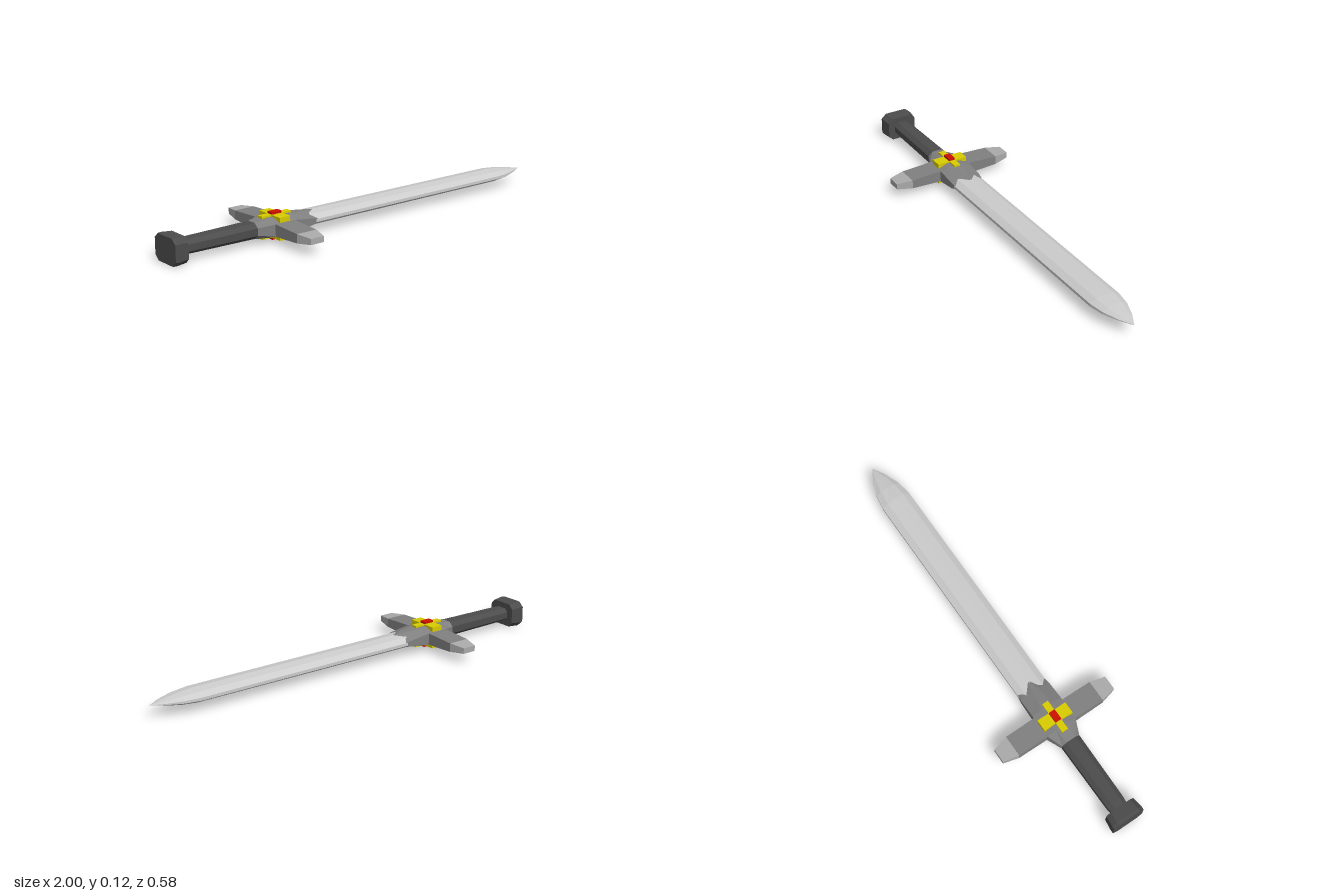
import * as THREE from 'three';

// Eight-sided section as [z, y] points: half width w, half height h,
// flat half-lengths fz (top) and fy (sides)
const oct = (w, h, fz, fy) => [
  [fz, h], [w, fy], [w, -fy], [fz, -h], [-fz, -h], [-w, -fy], [-w, fy], [-fz, h],
];

// Flattened lens section with a central ridge
const lens = (w, h) => [
  [0, h], [w * 0.6, h * 0.78], [w, h * 0.22], [w, -h * 0.22], [w * 0.6, -h * 0.78],
  [0, -h], [-w * 0.6, -h * 0.78], [-w, -h * 0.22], [-w, h * 0.22], [-w * 0.6, h * 0.78],
];

// Skin a list of [x, section] along x, closed at both ends
function loft(sections) {
  const pos = [];
  const n = sections[0][1].length;
  const put = (i, j) => {
    const [x, pts] = sections[i];
    const [z, y] = pts[j % n];
    pos.push(x, y, z);
  };
  const last = sections.length - 1;
  for (let i = 0; i < last; i++) {
    for (let j = 0; j < n; j++) {
      put(i, j); put(i, j + 1); put(i + 1, j + 1);
      put(i, j); put(i + 1, j + 1); put(i + 1, j);
    }
  }
  for (let j = 1; j < n - 1; j++) {
    put(0, 0); put(0, j + 1); put(0, j);
    put(last, 0); put(last, j); put(last, j + 1);
  }
  const geo = new THREE.BufferGeometry();
  geo.setAttribute('position', new THREE.Float32BufferAttribute(pos, 3));
  geo.computeVertexNormals();
  return geo;
}

const mat = (color) => new THREE.MeshStandardMaterial({ color, flatShading: true });

export function createModel() {
  const sword = new THREE.Group();
  sword.name = 'sword';
  const body = new THREE.Group();
  body.name = 'body';
  body.position.y = 0.06;
  sword.add(body);

  const steel = mat(0xcccccc);
  const guardGrey = mat(0x808080);
  const tipGrey = mat(0xaaaaaa);
  const gripGrey = mat(0x4c4c4c);
  const gold = mat(0xd8cc00);
  const red = mat(0xcc1100);

  const add = (name, geo, material) => {
    const mesh = new THREE.Mesh(geo, material);
    mesh.name = name;
    body.add(mesh);
    return mesh;
  };

  // Blade with a curved taper to the point
  add('blade', loft([
    [-0.4, lens(0.071, 0.031)],
    [0.8, lens(0.071, 0.029)],
    [0.87, lens(0.06, 0.023)],
    [0.94, lens(0.034, 0.012)],
    [1.0, lens(0.001, 0.001)],
  ]), steel);

  // Pommel and grip
  add('pommel', loft([
    [-1.0, oct(0.076, 0.058, 0.052, 0.036)],
    [-0.985, oct(0.076, 0.059, 0.054, 0.038)],
    [-0.935, oct(0.07, 0.055, 0.05, 0.034)],
  ]), gripGrey);
  add('grip', loft([
    [-0.94, oct(0.038, 0.029, 0.02, 0.014)],
    [-0.9, oct(0.042, 0.031, 0.022, 0.015)],
    [-0.57, oct(0.045, 0.034, 0.024, 0.016)],
  ]), gripGrey);

  // Central block flaring from the grip and tapering onto the blade
  add('guardCentre', loft([
    [-0.58, oct(0.045, 0.035, 0.024, 0.016)],
    [-0.51, oct(0.074, 0.043, 0.028, 0.026)],
    [-0.4, oct(0.075, 0.043, 0.028, 0.026)],
    [-0.31, oct(0.074, 0.034, 0.014, 0.014)],
    [-0.26, oct(0.066, 0.03, 0.003, 0.003)],
  ]), guardGrey);

  // Crossguard arms, mirrored, each with a paler tapered end
  const rect = (w, h) => [[w, h], [w, -h], [-w, -h], [-w, h]];
  for (const [side, turn] of [['left', -Math.PI / 2], ['right', Math.PI / 2]]) {
    const arm = loft([
      [0.03, rect(0.05, 0.029)], [0.073, rect(0.05, 0.027)], [0.22, rect(0.05, 0.02)],
    ]);
    const tip = loft([[0.22, rect(0.05, 0.02)], [0.292, rect(0.033, 0.013)]]);
    // Arms sit at the middle of the crossguard
    add(side + 'GuardArm', arm.rotateY(turn), guardGrey).position.x = -0.46;
    add(side + 'GuardTip', tip.rotateY(turn), tipGrey).position.x = -0.46;
  }

  // Gold cross with a red centre stone on both faces
  for (const [face, s] of [['top', 1], ['bottom', -1]]) {
    const place = (name, w, h, d, y, m) =>
      add(face + name, new THREE.BoxGeometry(w, h, d), m).position.set(-0.46, s * y, 0);
    place('CrossLengthBar', 0.15, 0.02, 0.03, 0.0405, gold);
    place('CrossWidthBar', 0.054, 0.022, 0.146, 0.039, gold);
    place('Stone', 0.05, 0.02, 0.03, 0.05, red);
  }
  return sword;
}
